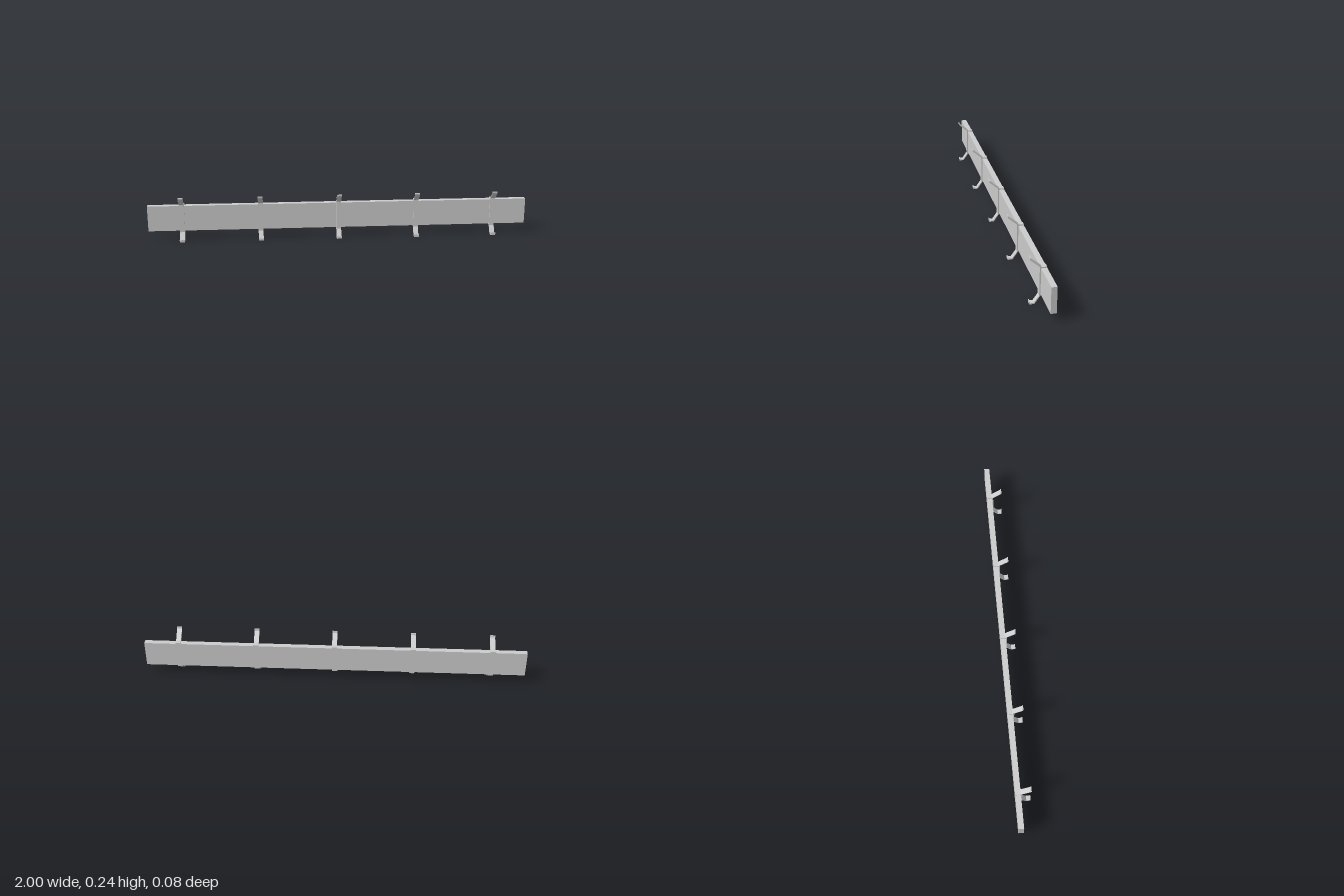
import * as THREE from 'three';

const material = new THREE.MeshStandardMaterial({ color: 0xcccccc, flatShading: true });

// Bent-strip outline of one bracket as [z, y]
const BRACKET = [
  [-0.04, 0.19], [-0.015, 0.19],                                  // top tab
  [0.034, 0.232], [0.036, 0.242], [0.04, 0.242], [0.04, 0.235], [0.037, 0.229], // upper arm
  [-0.006, 0.192], [-0.006, 0.041],                               // front strap
  [0.018, 0.006], [0.036, 0.006], [0.036, 0.013], [0.04, 0.013],  // lower hook
  [0.04, 0], [0.016, 0], [-0.012, 0.041],
  [-0.04, 0.041], [-0.04, 0.048],                                 // bottom tab
  [-0.012, 0.048], [-0.012, 0.184], [-0.04, 0.184],               // inside of the channel
];

function bracketGeometry(width) {
  const shape = new THREE.Shape(BRACKET.map(([z, y]) => new THREE.Vector2(z, y)));
  const geometry = new THREE.ExtrudeGeometry(shape, { depth: width, bevelEnabled: false });
  return geometry.rotateY(-Math.PI / 2).translate(width / 2, 0, 0);
}

export function createModel() {
  const group = new THREE.Group();
  group.name = 'hookRail';

  // Long board
  const board = new THREE.Mesh(new THREE.BoxGeometry(2, 0.136, 0.028), material);
  board.position.set(0, 0.116, -0.026);
  board.name = 'board';
  group.add(board);

  // Five evenly spaced hook brackets clipped over the board
  const geometry = bracketGeometry(0.026);
  for (let i = -2; i <= 2; i++) {
    const bracket = new THREE.Mesh(geometry, material);
    bracket.position.x = i * 0.411;
    bracket.name = 'hookBracket';
    group.add(bracket);
  }
  return group;
}
